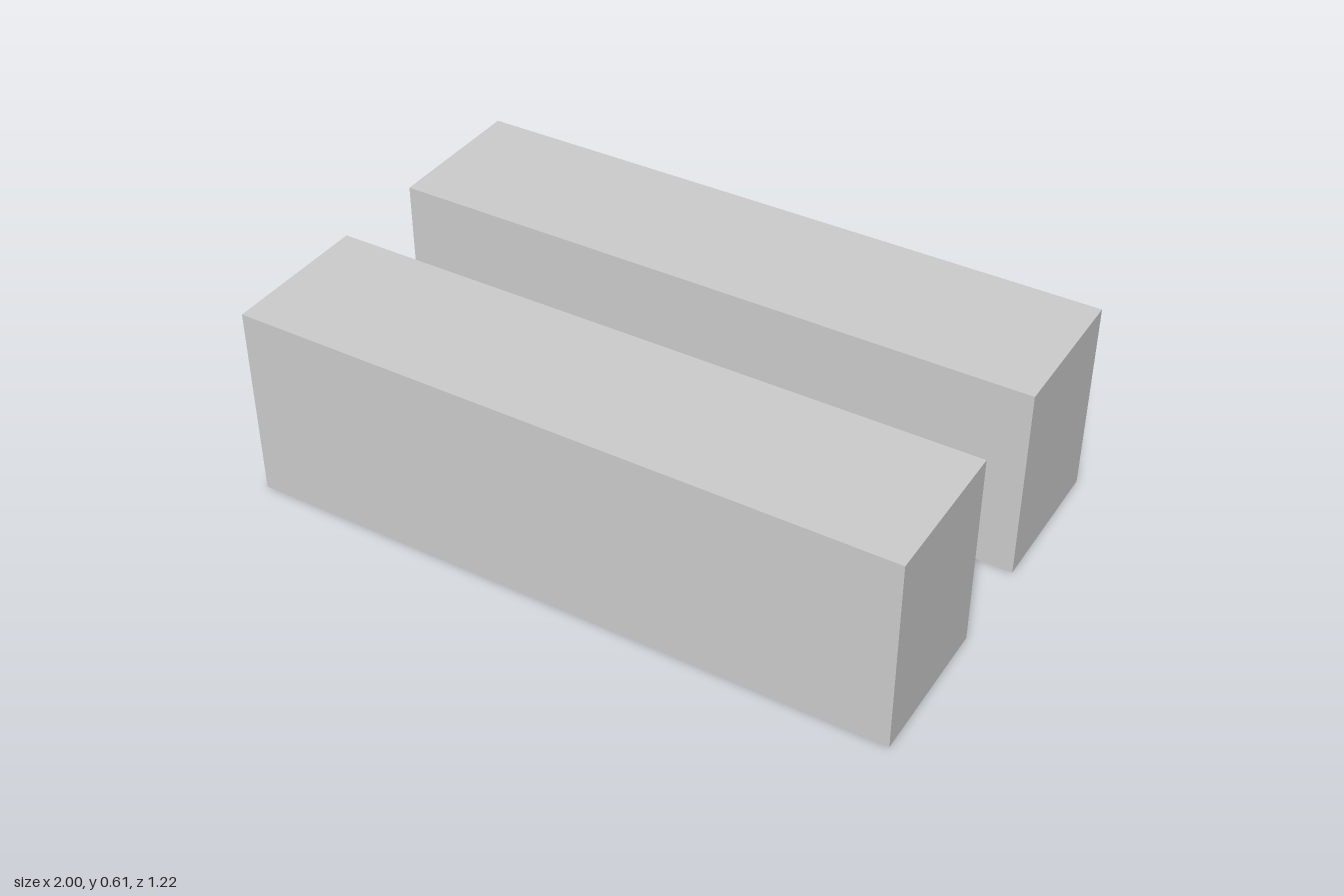
import * as THREE from 'three';

const LENGTH = 2;
const HEIGHT = 0.607;
const INNER_Z = 0.151; // half the gap between the blocks
const OUTER_Z = 0.612;

export function createModel() {
  const model = new THREE.Group();
  model.name = 'parallelBlocks';

  const material = new THREE.MeshStandardMaterial({ color: 0xcccccc });
  const geometry = new THREE.BoxGeometry(LENGTH, HEIGHT, OUTER_Z - INNER_Z);

  // Two identical long blocks, mirrored about the central gap
  for (const [name, side] of [['frontBlock', 1], ['backBlock', -1]]) {
    const block = new THREE.Mesh(geometry, material);
    block.name = name;
    block.position.set(0, HEIGHT / 2, side * (INNER_Z + OUTER_Z) / 2);
    model.add(block);
  }

  return model;
}
